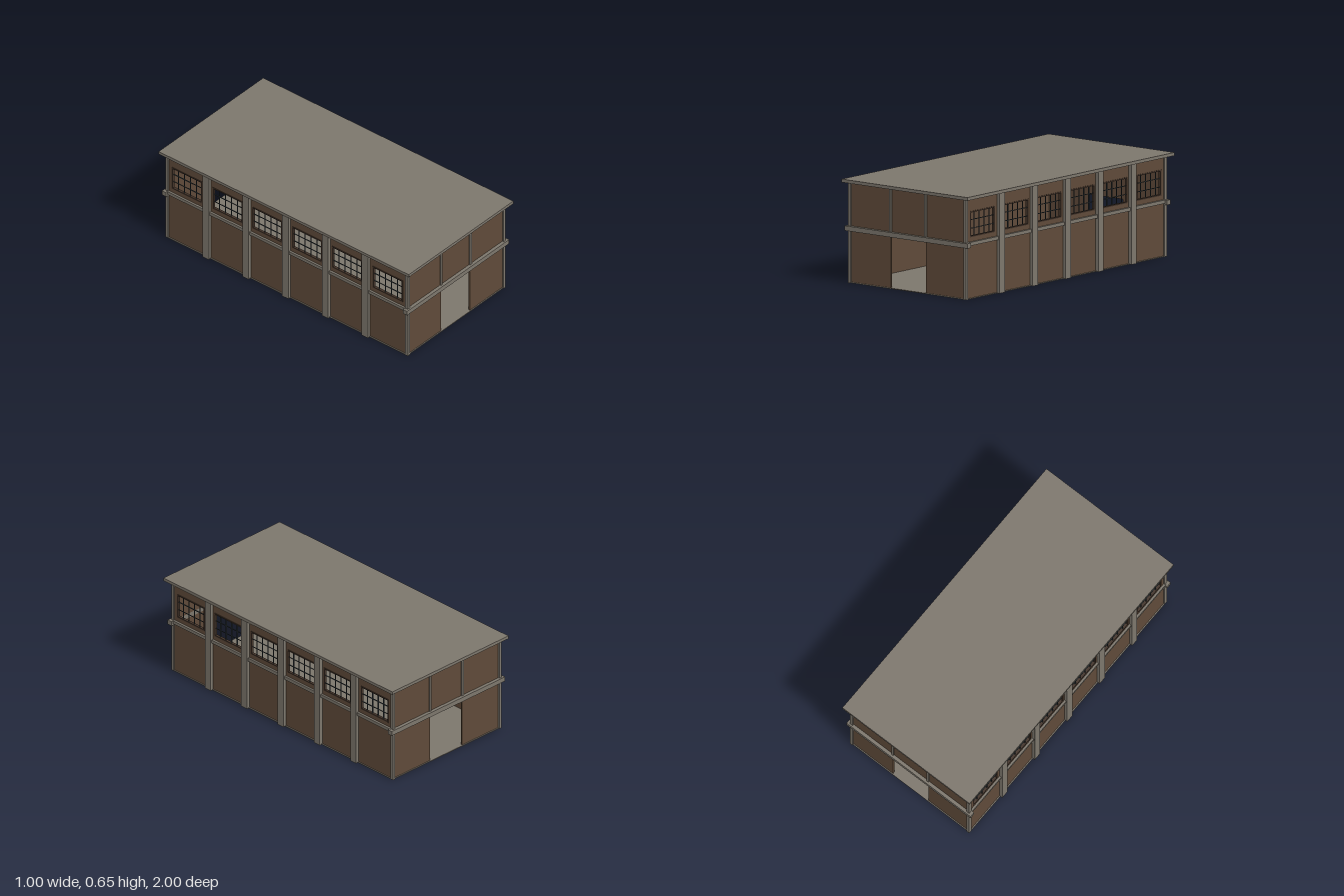
import * as THREE from 'three';

export function createModel() {
  const model = new THREE.Group();
  model.name = 'warehouse';
  const mat = (name, color) => {
    const m = new THREE.MeshStandardMaterial({ color });
    m.name = name;
    return m;
  };
  const concrete = mat('grey concrete', 0x7c766c);
  const brick = mat('brown brick', 0x5f4a39);
  const frameBrown = mat('dark brown frame', 0x43342a);
  const steel = mat('dark steel', 0x2f383c);

  const CX = -0.004; // the walls sit slightly off the roof's centre
  const EAVE = 0.628;
  const WIN = { w: 0.24, y0: 0.384, y1: 0.546 };
  const windowZ = [-0.803, -0.478, -0.16, 0.16, 0.478, 0.803];

  // Box given by its lower and upper corners
  const box = (name, m, x0, x1, y0, y1, z0, z1, parent = model) => {
    const mesh = new THREE.Mesh(new THREE.BoxGeometry(x1 - x0, y1 - y0, z1 - z0), m);
    mesh.position.set((x0 + x1) / 2, (y0 + y1) / 2, (z0 + z1) / 2);
    mesh.name = name;
    parent.add(mesh);
    return mesh;
  };
  const rectPoints = (x0, x1, y0, y1) =>
    [[x0, y0], [x1, y0], [x1, y1], [x0, y1]].map(p => new THREE.Vector2(...p));

  // Roof slab and floor
  box('roof', concrete, -0.5, 0.5, EAVE, 0.648, -1, 1);
  box('floor', concrete, CX - 0.468, CX + 0.468, 0, 0.005, -0.965, 0.965);

  // End walls with a through doorway, end belts and posts
  for (const s of [1, -1]) {
    const end = new THREE.Group();
    end.name = s > 0 ? 'frontEnd' : 'backEnd';
    model.add(end);

    const shape = new THREE.Shape([
      [-0.46, 0], [-0.139, 0], [-0.139, 0.321], [0.139, 0.321], [0.139, 0],
      [0.46, 0], [0.46, EAVE], [-0.46, EAVE],
    ].map(p => new THREE.Vector2(...p)));
    const wall = new THREE.Mesh(
      new THREE.ExtrudeGeometry(shape, { depth: 0.012, bevelEnabled: false }), brick);
    wall.position.set(CX, 0, s > 0 ? 0.946 : -0.958);
    wall.name = 'endWall';
    end.add(wall);

    const zBox = (name, x0, x1, y0, y1, a, b) =>
      box(name, concrete, CX + x0, CX + x1, y0, y1, Math.min(s * a, s * b), Math.max(s * a, s * b), end);
    zBox('endBelt', -0.488, 0.488, 0.325, 0.355, 0.946, 0.98);
    for (const x of [-0.139, 0.139]) zBox('endMullion', x - 0.008, x + 0.008, 0.355, EAVE, 0.95, 0.966);
    for (const x of [-1, 1]) {
      zBox('cornerPost', Math.min(x * 0.449, x * 0.468), Math.max(x * 0.449, x * 0.468), 0, EAVE, 0.948, 0.969);
    }
  }

  // Long side walls with windows, pillars and belts
  for (const s of [1, -1]) {
    const side = new THREE.Group();
    side.name = s > 0 ? 'leftSide' : 'rightSide';
    model.add(side);
    const xBox = (name, m, a, b, y0, y1, z0, z1) =>
      box(name, m, CX + Math.min(s * a, s * b), CX + Math.max(s * a, s * b), y0, y1, z0, z1, side);

    const shape = new THREE.Shape(rectPoints(-0.955, 0.955, 0, EAVE));
    for (const z of windowZ) {
      shape.holes.push(new THREE.Path(
        rectPoints(z - WIN.w / 2, z + WIN.w / 2, WIN.y0, WIN.y1).reverse()));
    }
    const geo = new THREE.ExtrudeGeometry(shape, { depth: 0.012, bevelEnabled: false });
    geo.rotateY(Math.PI / 2);
    const wall = new THREE.Mesh(geo, brick);
    wall.position.x = CX + (s > 0 ? 0.448 : -0.46);
    wall.name = 'sideWall';
    side.add(wall);

    for (let i = -2; i <= 2; i++) {
      xBox('pillar', concrete, 0.45, 0.482, 0, EAVE, i * 0.318 - 0.025, i * 0.318 + 0.025);
    }
    xBox('sideBelt', concrete, 0.45, 0.474, 0.334, 0.356, -0.955, 0.955);

    // Framed windows with a grid of thin bars
    for (const z of windowZ) {
      const z0 = z - WIN.w / 2, z1 = z + WIN.w / 2, t = 0.008;
      for (const y of [WIN.y0, WIN.y1 - t]) xBox('windowFrame', frameBrown, 0.446, 0.463, y, y + t, z0, z1);
      for (const e of [z0, z1 - t]) xBox('windowFrame', frameBrown, 0.446, 0.463, WIN.y0, WIN.y1, e, e + t);
      for (let c = 1; c < 5; c++) {
        const b = z0 + (WIN.w * c) / 5;
        xBox('windowBar', steel, 0.452, 0.457, WIN.y0, WIN.y1, b - 0.002, b + 0.002);
      }
      for (let r = 1; r < 3; r++) {
        const b = WIN.y0 + ((WIN.y1 - WIN.y0) * r) / 3;
        xBox('windowBar', steel, 0.452, 0.457, b - 0.002, b + 0.002, z0, z1);
      }
    }
  }
  return model;
}
